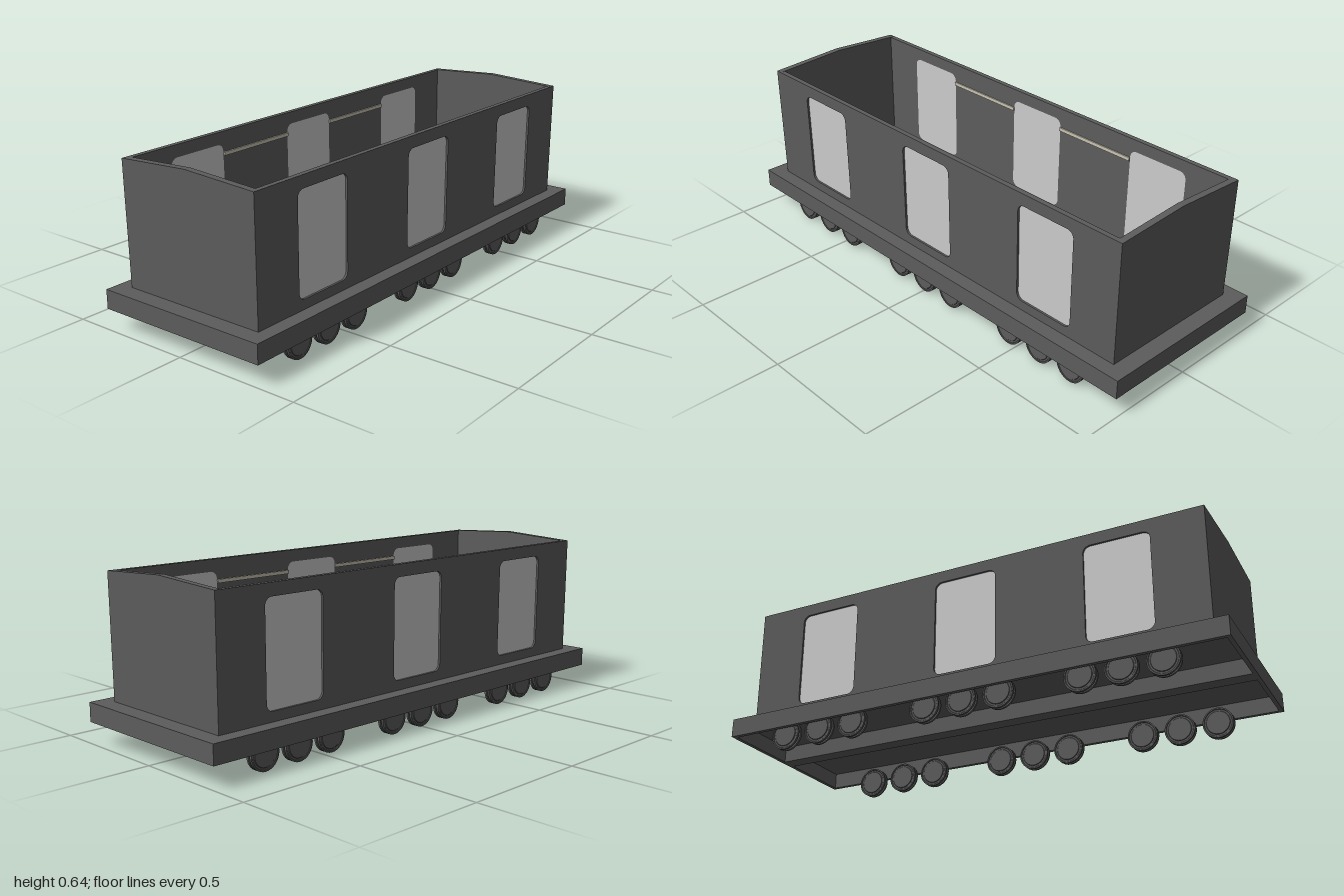
import * as THREE from 'three';

const body = new THREE.MeshStandardMaterial({ color: 0x5c5c5c });
const glass = new THREE.MeshStandardMaterial({ color: 0xcccccc });
const trim = new THREE.MeshStandardMaterial({ color: 0xc8c2b0 });

const DECK = 0.153, EAVE = 0.622, RIDGE = 0.638;
const WINDOWS = [-0.606, 0, 0.606];

function add(parent, name, geometry, material, x = 0, y = 0, z = 0) {
  const mesh = new THREE.Mesh(geometry, material);
  mesh.name = name;
  mesh.position.set(x, y, z);
  parent.add(mesh);
  return mesh;
}

function box(parent, name, w, h, d, x, y, z, material = body) {
  return add(parent, name, new THREE.BoxGeometry(w, h, d), material, x, y, z);
}

// Rounded window outline, drawn at its place in the wall
function windowOutline(target, cx) {
  const x0 = cx - 0.127, x1 = cx + 0.127, y0 = 0.19, y1 = 0.575, r = 0.028;
  target.moveTo(x0 + r, y0);
  target.lineTo(x1 - r, y0);
  target.absarc(x1 - r, y0 + r, r, -Math.PI / 2, 0);
  target.lineTo(x1, y1 - r);
  target.absarc(x1 - r, y1 - r, r, 0, Math.PI / 2);
  target.lineTo(x0 + r, y1);
  target.absarc(x0 + r, y1 - r, r, Math.PI / 2, Math.PI);
  target.lineTo(x0, y0 + r);
  target.absarc(x0 + r, y0 + r, r, Math.PI, Math.PI * 1.5);
  return target;
}

function extrude(shape, depth) {
  return new THREE.ExtrudeGeometry(shape, { depth, bevelEnabled: false, curveSegments: 8 });
}

// Walls lean outward very slightly towards the top
function flare(geometry) {
  const p = geometry.attributes.position;
  for (let i = 0; i < p.count; i++) {
    const t = (p.getY(i) - DECK) / (EAVE - DECK);
    p.setX(i, p.getX(i) * (1 + 0.004 * t));
    p.setZ(i, p.getZ(i) * (1 + 0.01 * t));
  }
  geometry.computeVertexNormals();
  return geometry;
}

// One long wall with its windows, built on the +z side
function createSideWall() {
  const side = new THREE.Group();
  const wall = new THREE.Shape();
  wall.moveTo(-0.932, DECK);
  wall.lineTo(0.932, DECK);
  wall.lineTo(0.932, EAVE);
  wall.lineTo(-0.932, EAVE);
  for (const x of WINDOWS) wall.holes.push(windowOutline(new THREE.Path(), x));
  add(side, 'sideWall', flare(extrude(wall, 0.02).translate(0, 0, 0.279)), body);

  for (const x of WINDOWS) {
    const pane = windowOutline(new THREE.Shape(), x);
    add(side, 'windowPane', flare(extrude(pane, 0.012).translate(0, 0, 0.279)), glass);
  }
  // Thin inner rail between the windows
  for (const x of [-0.303, 0.303]) box(side, 'innerRail', 0.352, 0.014, 0.008, x, 0.537, 0.28, trim);
  return side;
}

// Gabled end wall on the +x side
function createEndWall() {
  const gable = new THREE.Shape();
  gable.moveTo(-0.299, DECK);
  gable.lineTo(0.299, DECK);
  gable.lineTo(0.299, EAVE);
  gable.lineTo(0, RIDGE);
  gable.lineTo(-0.299, EAVE);
  const g = extrude(gable, 0.026).rotateY(Math.PI / 2).translate(0.908, 0, 0);
  const end = new THREE.Group();
  add(end, 'endWall', flare(g), body);
  return end;
}

// Twin-flange wheel with a groove around the middle
function createWheelGeometry() {
  const profile = [
    [0, -0.0125], [0.045, -0.0125], [0.047, -0.0105], [0.053, -0.0105], [0.055, -0.0125],
    [0.06, -0.0125], [0.06, -0.004], [0.053, -0.004], [0.053, 0.004], [0.06, 0.004],
    [0.06, 0.0125], [0.055, 0.0125], [0.053, 0.0105], [0.047, 0.0105], [0.045, 0.0125], [0, 0.0125],
  ];
  // Separate bands keep the profile corners sharp
  const parts = [];
  for (let i = 0; i + 1 < profile.length; i++) {
    const pts = [profile[i], profile[i + 1]].map(([r, y]) => new THREE.Vector2(r, y));
    parts.push(new THREE.LatheGeometry(pts, 32).rotateX(Math.PI / 2));
  }
  return parts;
}

export function createModel() {
  const model = new THREE.Group();
  model.name = 'railCarriage';

  // Open-bottomed chassis
  const chassis = new THREE.Group();
  chassis.name = 'chassis';
  model.add(chassis);
  box(chassis, 'deck', 2, 0.01, 0.712, 0, DECK - 0.005, 0);
  const h = DECK - 0.01 - 0.08, y = 0.08 + h / 2;
  for (const s of [-1, 1]) {
    box(chassis, 'sideSkirt', 2, h, 0.016, 0, y, s * 0.348);
    box(chassis, 'endSkirt', 0.016, h, 0.68, s * 0.992, y, 0);
  }
  box(chassis, 'centreBeam', 1.968, h, 0.06, 0, y, 0);

  // Roofless body, mirrored by half turns
  const shell = new THREE.Group();
  shell.name = 'body';
  model.add(shell);
  for (const turn of [0, Math.PI]) {
    const side = createSideWall();
    side.name = turn ? 'backSide' : 'frontSide';
    const end = createEndWall();
    end.name = turn ? 'rightEnd' : 'leftEnd';
    side.rotation.y = end.rotation.y = turn;
    shell.add(side, end);
  }

  // Three sets of three wheels along each side
  const bands = createWheelGeometry();
  const wheels = new THREE.Group();
  wheels.name = 'wheels';
  model.add(wheels);
  for (const z of [-0.3125, 0.3125]) {
    for (const set of [-0.612, 0, 0.614]) {
      for (const step of [-0.15, 0, 0.15]) {
        const wheel = new THREE.Group();
        wheel.name = 'wheel';
        wheel.position.set(set + step, 0.06, z);
        for (const band of bands) add(wheel, 'wheelBand', band, body);
        wheels.add(wheel);
      }
    }
  }
  return model;
}
